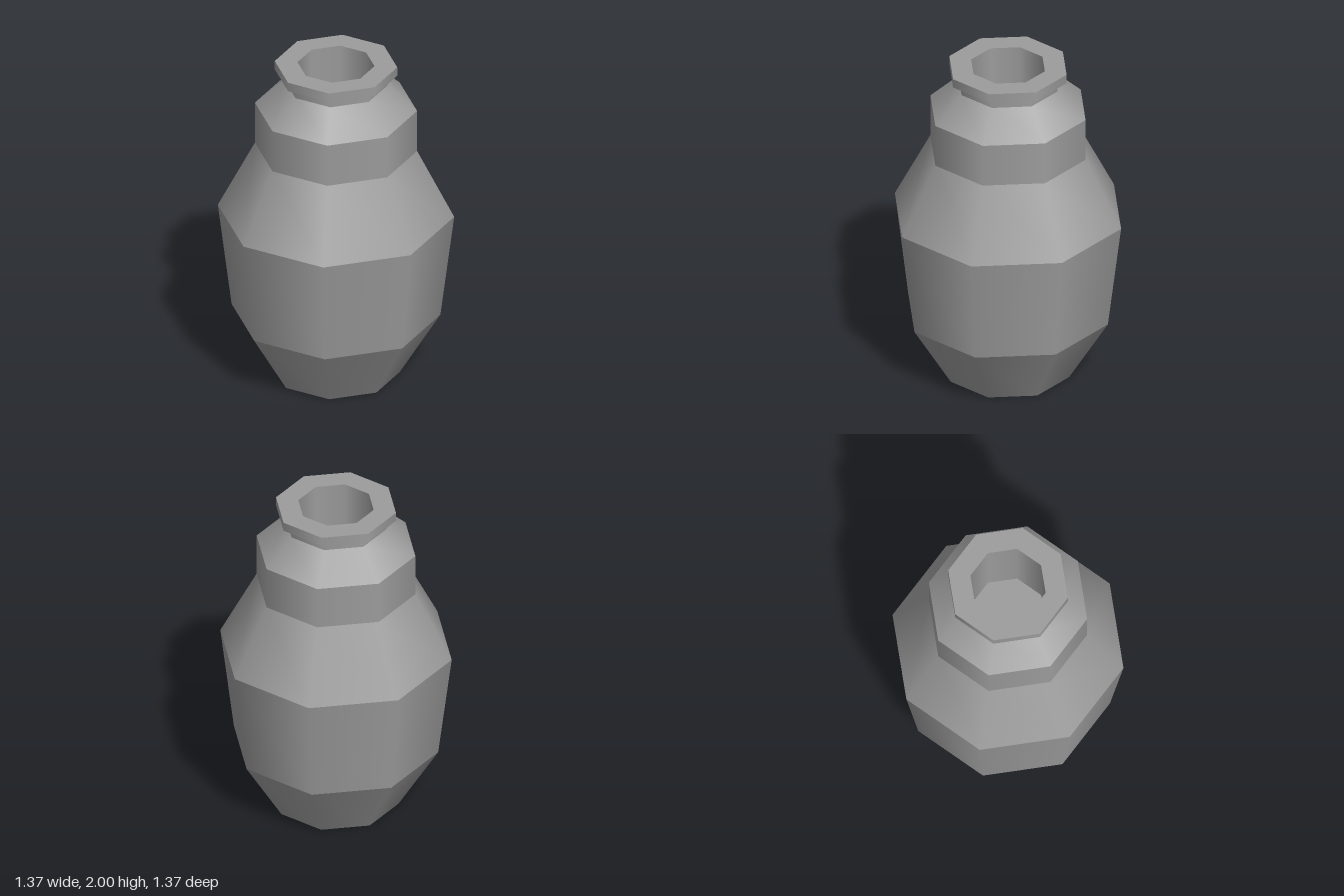
import * as THREE from 'three';

const SIDES = 8;

export function createModel() {
  const group = new THREE.Group();
  group.name = 'jar';
  const material = new THREE.MeshStandardMaterial({ color: 0x9c9c9c });

  // Each part is a chain of [radius, height] points; every band is its own
  // lathe, so it is smooth around the jar but sharp where bands meet.
  const addPart = (name, profile) => {
    const part = new THREE.Group();
    part.name = name;
    for (let i = 0; i < profile.length - 1; i++) {
      const band = [profile[i], profile[i + 1]].map(([r, y]) => new THREE.Vector2(r, y));
      const geometry = new THREE.LatheGeometry(band, SIDES);
      geometry.normalizeNormals(); // keeps the shading even across each band
      const mesh = new THREE.Mesh(geometry, material);
      mesh.name = `${name}Band${i + 1}`;
      part.add(mesh);
    }
    group.add(part);
  };

  // Flat base, tapered foot, wide belly and sloping upper body
  addPart('body', [[0, 0], [0.37, 0], [0.605, 0.39], [0.685, 1.037], [0.47, 1.457]]);
  // Straight collar and the shoulder above it
  addPart('shoulder', [[0.47, 1.457], [0.47, 1.72], [0.3, 1.88]]);
  // Short neck
  addPart('neck', [[0.3, 1.88], [0.3, 1.945]]);
  // Overhanging rim
  addPart('rim', [[0.3, 1.945], [0.355, 1.945], [0.355, 2], [0.223, 2]]);
  // Hollow mouth with its inner floor
  addPart('mouth', [[0.223, 2], [0.223, 1.5], [0, 1.5]]);

  return group;
}
